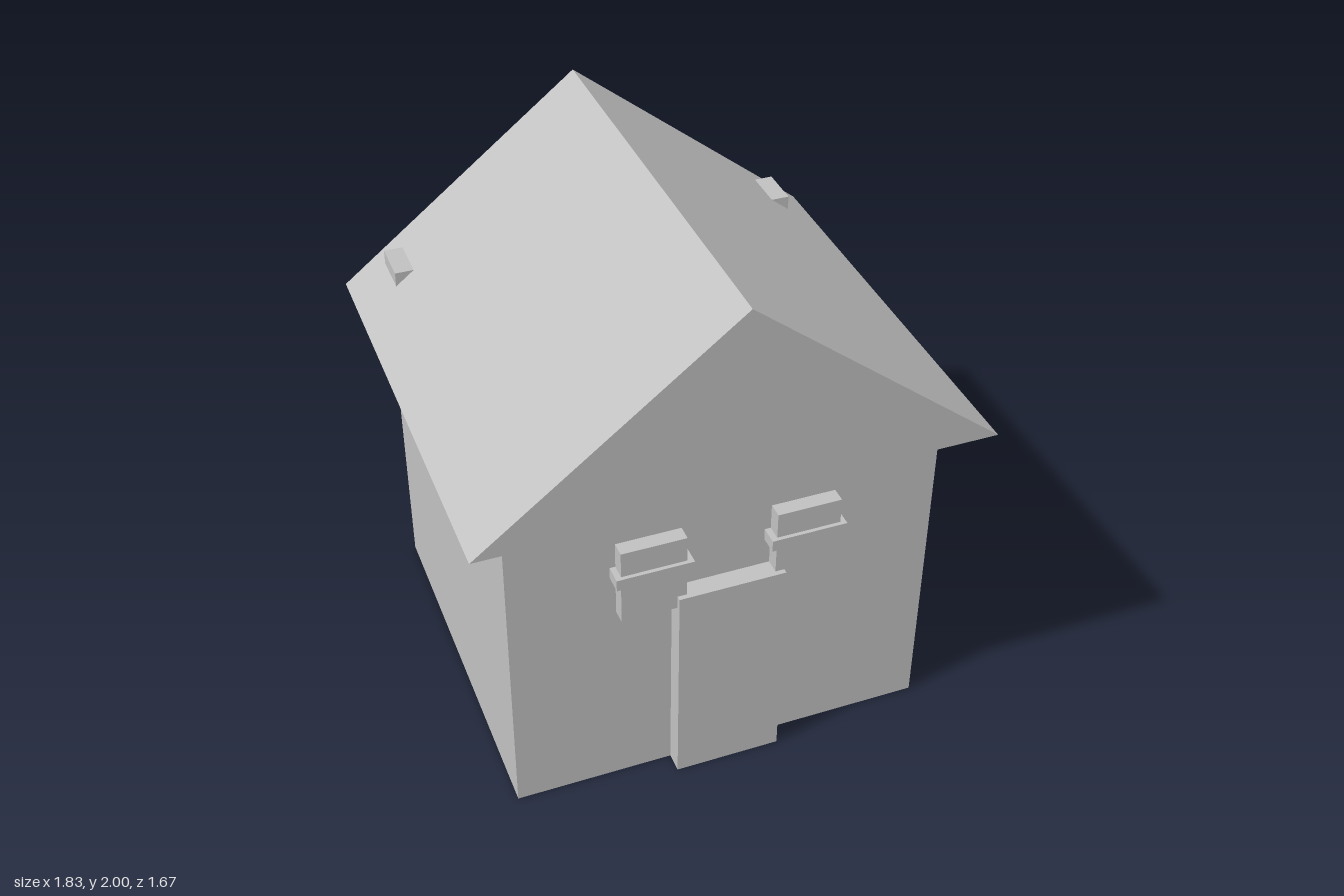
import * as THREE from 'three';

const plaster = new THREE.MeshStandardMaterial({ color: 0xc0c0c0, side: THREE.DoubleSide });
plaster.name = 'grey plaster';

// Box given by its low and high limits on each axis
function block(name, [x0, x1], [y0, y1], [z0, z1]) {
  const mesh = new THREE.Mesh(new THREE.BoxGeometry(x1 - x0, y1 - y0, z1 - z0), plaster);
  mesh.position.set((x0 + x1) / 2, (y0 + y1) / 2, (z0 + z1) / 2);
  mesh.name = name;
  return mesh;
}

// Hollow gable roof: two slopes and two gables, open underneath
function gableRoof(halfWidth, eaveY, ridgeY, halfDepth) {
  const [w, e, r, d] = [halfWidth, eaveY, ridgeY, halfDepth];
  const lf = [w, e, d], rf = [-w, e, d], tf = [0, r, d];
  const lb = [w, e, -d], rb = [-w, e, -d], tb = [0, r, -d];
  const faces = [
    rf, lf, tf, // front gable
    lb, rb, tb, // back gable
    lf, lb, tb, lf, tb, tf, // left slope
    rb, rf, tf, rb, tf, tb, // right slope
  ];
  const geometry = new THREE.BufferGeometry();
  geometry.setAttribute('position', new THREE.Float32BufferAttribute(faces.flat(), 3));
  geometry.computeVertexNormals();
  const mesh = new THREE.Mesh(geometry, plaster);
  mesh.name = 'roof';
  return mesh;
}

export function createModel() {
  const house = new THREE.Group();
  house.name = 'house';

  house.add(block('walls', [-0.775, 0.775], [0, 1.28], [-0.695, 0.695]));
  house.add(gableRoof(0.915, 1.28, 2, 0.835));
  house.add(block('door', [-0.195, 0.195], [0, 0.835], [0.69, 0.768]));

  for (const side of [-1, 1]) {
    const span = (a, b) => [a * side, b * side].sort((p, q) => p - q);
    const label = side > 0 ? 'left' : 'right';
    // Rear corner posts that poke through the roof
    house.add(block(label + 'Post', span(0.62, 0.775), [0, 1.445], [-0.75, -0.585]));
    // Window with a band across it
    house.add(block(label + 'Window', span(0.162, 0.395), [0.785, 1.085], [0.69, 0.75]));
    house.add(block(label + 'WindowBand', span(0.14, 0.415), [0.943, 0.987], [0.69, 0.764]));
  }
  return house;
}
